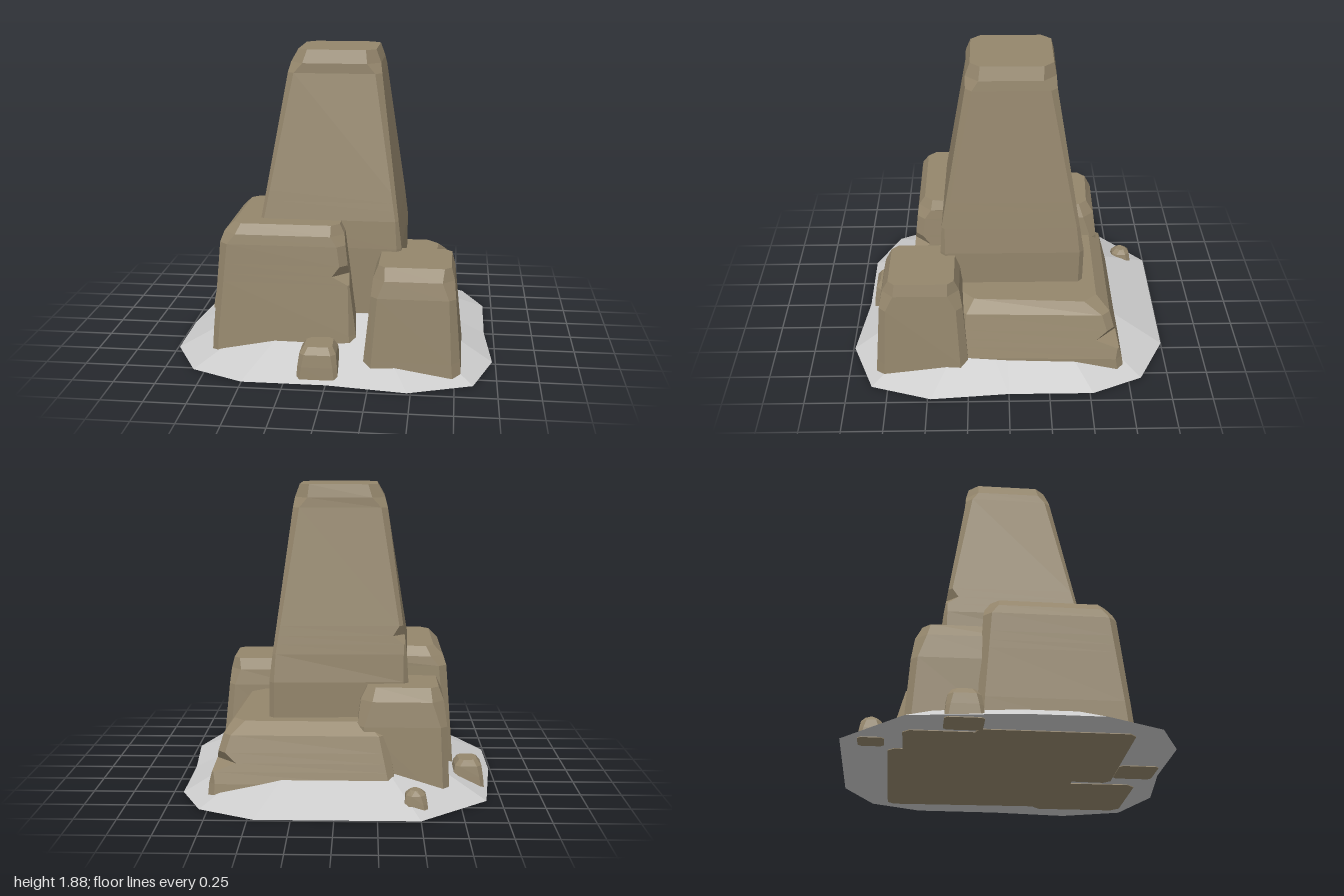
import * as THREE from 'three';

const stone = new THREE.MeshStandardMaterial({ color: 0x94866c, flatShading: true });
const grey = new THREE.MeshStandardMaterial({ color: 0xcccccc, flatShading: true });

// Skin a stack of rings (lists of [x, y, z]) and cap both ends
function loft(name, rings, material) {
  const pos = [];
  const tri = (...pts) => pts.forEach((p) => pos.push(...p));
  const n = rings[0].length;
  const centre = (ring) => [0, 1, 2].map((k) => ring.reduce((s, p) => s + p[k], 0) / n);
  const first = rings[0], last = rings[rings.length - 1];
  const bottom = centre(first), top = centre(last);
  for (let i = 0; i < n; i++) {
    const j = (i + 1) % n;
    for (let r = 0; r + 1 < rings.length; r++) {
      const lo = rings[r], hi = rings[r + 1];
      tri(lo[i], hi[i], hi[j]);
      tri(lo[i], hi[j], lo[j]);
    }
    tri(bottom, first[i], first[j]);
    tri(top, last[j], last[i]);
  }
  const geo = new THREE.BufferGeometry();
  geo.setAttribute('position', new THREE.Float32BufferAttribute(pos, 3));
  geo.computeVertexNormals();
  const mesh = new THREE.Mesh(geo, material);
  mesh.name = name;
  return mesh;
}

// Four-cornered outline with each corner cut off by its own amount
function cutRing({ y, corners, cuts }) {
  return corners.flatMap((c, i) => {
    const toward = (o) => {
      const dx = o[0] - c[0], dz = o[1] - c[1];
      const t = Math.min(0.45, cuts[i] / Math.hypot(dx, dz));
      return [c[0] + dx * t, y, c[1] + dz * t];
    };
    return [toward(corners[(i + 3) % 4]), toward(corners[(i + 1) % 4])];
  });
}

// Blend two neighbouring levels at height y
function blend(levels, y) {
  const k = levels.findIndex((l) => l.y > y);
  const a = levels[k - 1], b = levels[k], t = (y - a.y) / (b.y - a.y);
  const mix = (p, q) => p + (q - p) * t;
  return {
    y,
    corners: a.corners.map((c, i) => [mix(c[0], b.corners[i][0]), mix(c[1], b.corners[i][1])]),
    cuts: a.cuts.map((c, i) => mix(c, b.cuts[i])),
  };
}

// Rock from levels [y, corner cut, four corners: back left, back right, front right, front left in plan],
// with an optional chip [corner index, height, depth]
function rock(name, spec, chip) {
  const levels = spec.map(([y, cut, corners]) => ({ y, corners, cuts: [cut, cut, cut, cut] }));
  if (chip) {
    const [corner, y, depth] = chip;
    const extra = [-0.05, 0, 0.06].map((d) => blend(levels, y + d));
    extra[0].cuts[corner] = 0.01;
    extra[1].cuts[corner] = depth;
    levels.push(...extra);
    levels.sort((a, b) => a.y - b.y);
  }
  return loft(name, levels.map(cutRing), stone);
}

// Small stone: plan bounds and height
function pebble(name, x0, x1, z0, z1, h) {
  const box = (d) => [[x0 + d, z0 + d], [x1 - d, z0 + d * 0.6], [x1 - d * 0.8, z1 - d], [x0 + d, z1 - d]];
  return rock(name, [
    [0, 0.02, box(0)],
    [h * 0.45, 0.025, box(0.008)],
    [h * 0.8, 0.03, box(0.018)],
    [h, 0.025, box(0.045)],
  ]);
}

export function createModel() {
  const model = new THREE.Group();
  model.name = 'rockFormation';

  // Low sloping ground
  const outline = [[-0.5, -1], [0.46, -1], [0.8, -0.83], [0.94, -0.52], [0.94, 0], [0.98, 0.48], [0.86, 0.85],
    [0.48, 0.99], [0, 0.93], [-0.5, 0.93], [-0.82, 0.78], [-0.99, 0.44], [-0.99, 0], [-0.91, -0.64]];
  const ground = [[0.005, 1], [0.27, 0.44]].map(([y, s]) => outline.map(([x, z]) => [x * s, y, z * s]));
  model.add(loft('groundMound', ground, grey));

  // Tall tapering central rock
  model.add(rock('tallRock', [
    [0, 0.03, [[-0.44, -0.43], [0.41, -0.47], [0.41, 0.42], [-0.46, 0.41]]],
    [0.69, 0.03, [[-0.44, -0.44], [0.41, -0.48], [0.41, 0.42], [-0.46, 0.41]]],
    [0.86, 0.02, [[-0.43, -0.43], [0.39, -0.45], [0.39, 0.41], [-0.46, 0.40]]],
    [1.74, 0.04, [[-0.31, -0.3], [0.27, -0.3], [0.27, 0.25], [-0.31, 0.25]]],
    [1.8, 0.08, [[-0.295, -0.3], [0.26, -0.295], [0.26, 0.25], [-0.295, 0.25]]],
    [1.88, 0.06, [[-0.25, -0.28], [0.23, -0.28], [0.23, 0.22], [-0.25, 0.22]]],
  ], [0, 0.97, 0.07]));

  // Large block at the front, on the -x side
  model.add(rock('frontBlock', [
    [0, 0.04, [[-0.74, -0.25], [0.14, -0.2], [0.17, 0.66], [-0.74, 0.65]]],
    [0.2, 0.04, [[-0.73, -0.24], [0.12, -0.19], [0.15, 0.64], [-0.73, 0.63]]],
    [0.74, 0.05, [[-0.69, -0.21], [0.06, -0.17], [0.08, 0.58], [-0.69, 0.58]]],
    [0.8, 0.08, [[-0.67, -0.2], [0.06, -0.17], [0.07, 0.57], [-0.67, 0.57]]],
    [0.86, 0.05, [[-0.61, -0.16], [0.04, -0.14], [0.04, 0.53], [-0.61, 0.53]]],
  ], [2, 0.56, 0.1]));

  // Block behind it
  model.add(rock('backBlock', [
    [0, 0.04, [[-0.69, -0.65], [-0.12, -0.64], [-0.12, 0], [-0.69, 0]]],
    [0.45, 0.04, [[-0.67, -0.62], [-0.13, -0.61], [-0.13, 0], [-0.68, 0]]],
    [0.6, 0.07, [[-0.65, -0.6], [-0.15, -0.59], [-0.15, 0], [-0.66, 0]]],
    [0.68, 0.05, [[-0.62, -0.56], [-0.19, -0.54], [-0.19, 0], [-0.62, 0]]],
  ]));

  // Low wide slab at the back, on the +x side
  model.add(rock('lowSlab', [
    [0, 0.04, [[-0.37, -0.73], [0.77, -0.73], [0.74, 0.34], [-0.37, 0.3]]],
    [0.12, 0.04, [[-0.36, -0.71], [0.76, -0.71], [0.73, 0.33], [-0.36, 0.3]]],
    [0.4, 0.05, [[-0.31, -0.64], [0.68, -0.63], [0.65, 0.31], [-0.31, 0.3]]],
    [0.47, 0.08, [[-0.26, -0.56], [0.63, -0.55], [0.58, 0.29], [-0.26, 0.28]]],
  ], [1, 0.24, 0.13]));

  // Block at the front, on the +x side
  model.add(rock('sideBlock', [
    [0, 0.05, [[0.21, 0.26], [0.8, 0.24], [0.79, 0.83], [0.2, 0.83]]],
    [0.12, 0.05, [[0.22, 0.27], [0.79, 0.25], [0.78, 0.82], [0.21, 0.82]]],
    [0.5, 0.04, [[0.25, 0.29], [0.75, 0.28], [0.75, 0.79], [0.25, 0.79]]],
    [0.6, 0.07, [[0.26, 0.3], [0.74, 0.3], [0.74, 0.77], [0.26, 0.77]]],
    [0.675, 0.04, [[0.29, 0.33], [0.72, 0.33], [0.72, 0.73], [0.29, 0.73]]],
  ]));

  // Loose stones
  model.add(pebble('frontStone', -0.18, 0.07, 0.66, 0.9, 0.21));
  model.add(pebble('sideStone', -0.92, -0.72, -0.43, -0.21, 0.185));
  model.add(pebble('backStone', -0.55, -0.4, -0.9, -0.75, 0.14));

  return model;
}
